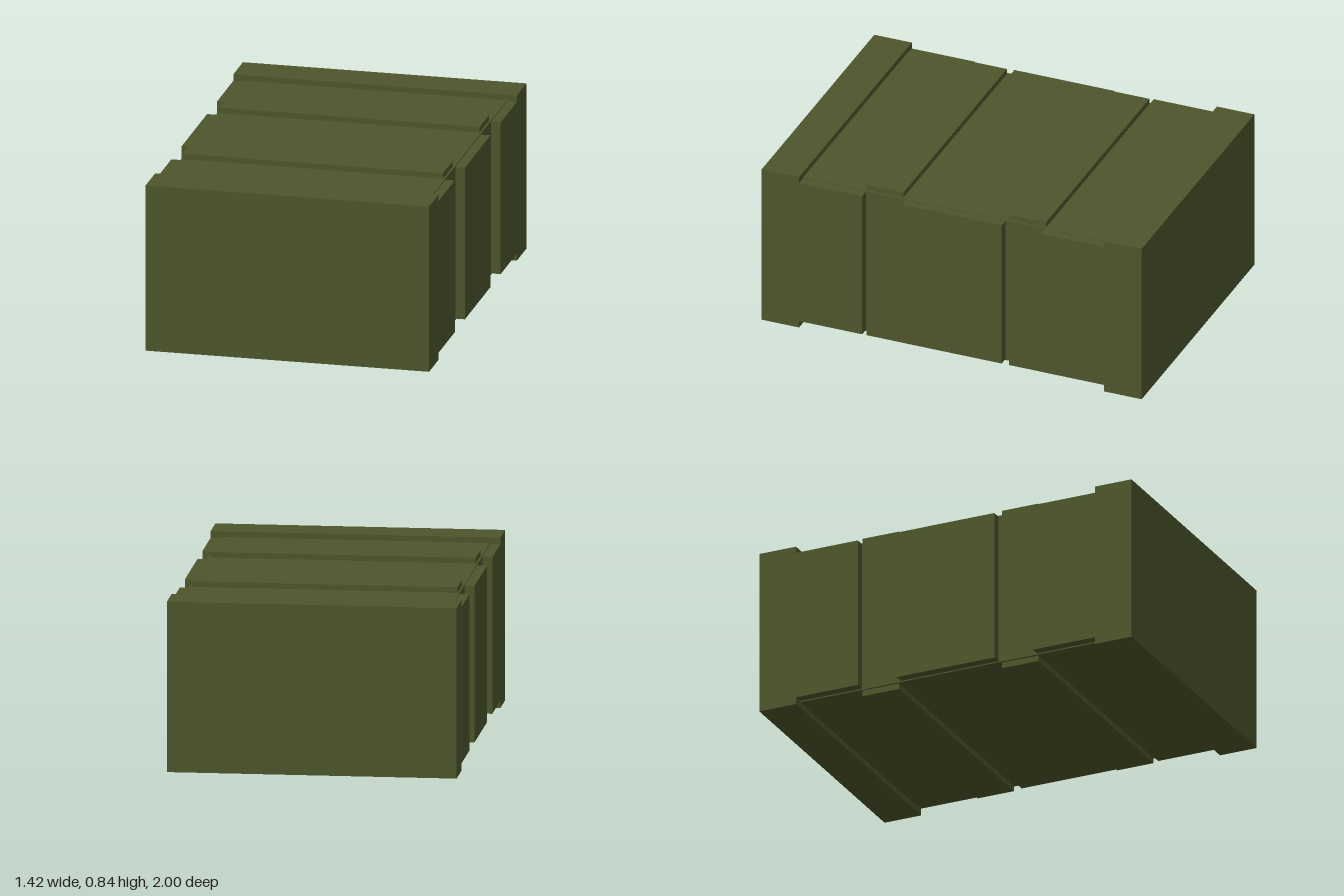
import * as THREE from 'three';

export function createModel() {
  const model = new THREE.Group();
  const olive = new THREE.MeshStandardMaterial({ color: 0x4e562c });
  olive.name = 'olive';

  // Box given by half width and by its y and z ranges
  function block(name, halfX, y0, y1, z0, z1) {
    const mesh = new THREE.Mesh(new THREE.BoxGeometry(halfX * 2, y1 - y0, z1 - z0), olive);
    mesh.name = name;
    mesh.position.set(0, (y0 + y1) / 2, (z0 + z1) / 2);
    model.add(mesh);
  }

  // Inner case, just proud of the panels at top and bottom
  block('core', 0.66, 0.03, 0.815, -0.9, 0.9);

  // Wide middle panel
  block('middlePanel', 0.708, 0.036, 0.81, -0.263, 0.263);

  // End caps, outer panels and bands, front and back
  for (const [side, s] of [['front', 1], ['back', -1]]) {
    const mirrored = (name, halfX, y0, y1, near, far) =>
      block(side + name, halfX, y0, y1, Math.min(s * near, s * far), Math.max(s * near, s * far));
    mirrored('Cap', 0.708, 0, 0.843, 0.803, 1);
    mirrored('Panel', 0.708, 0.036, 0.81, 0.471, 0.803);
    mirrored('Band', 0.65, 0, 0.843, 0.278, 0.472);
  }

  return model;
}
